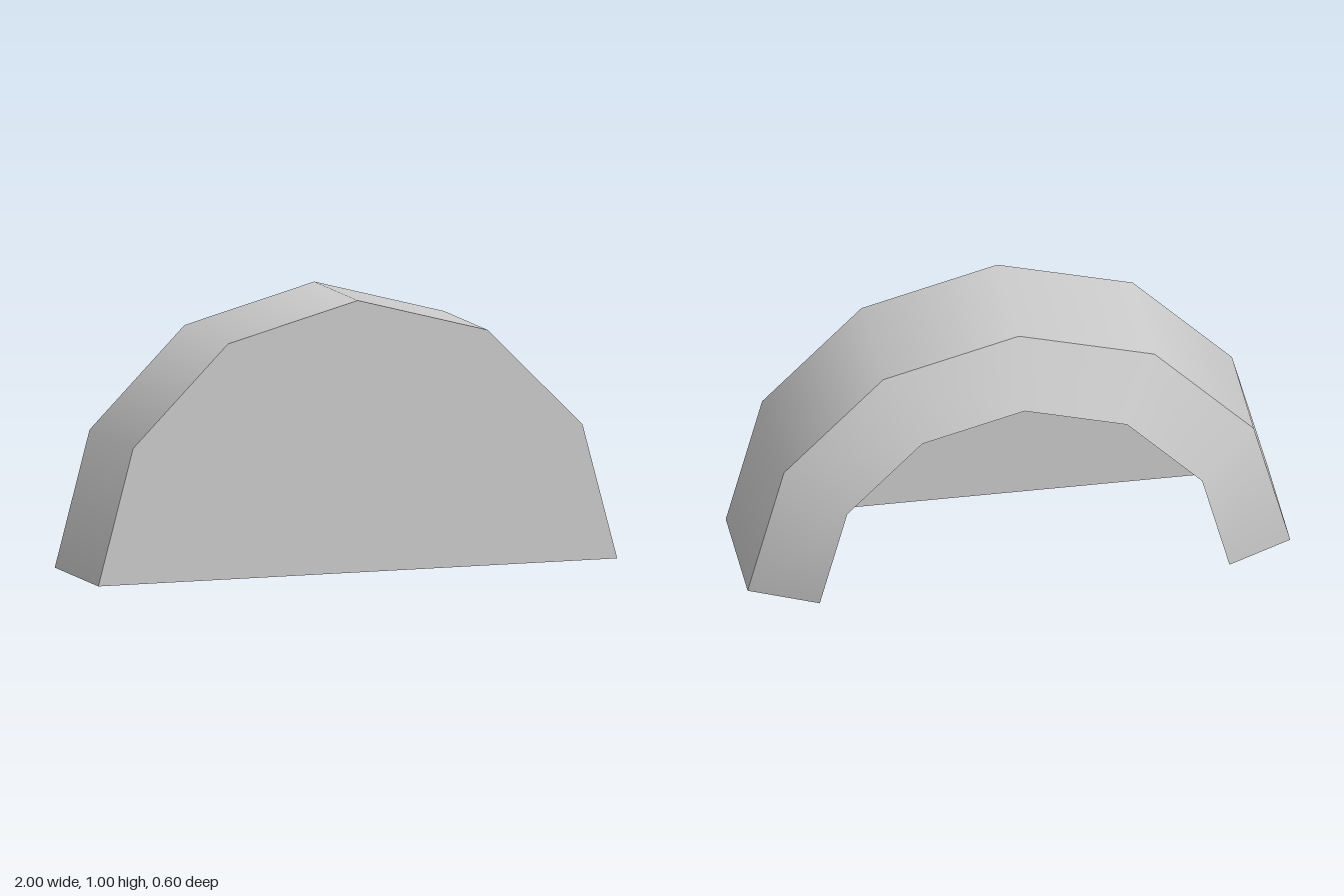
import * as THREE from 'three';

const OUTER = 1, INNER = 0.755;        // radii of the arch
const FRONT = 0.3, SHOULDER = -0.175, BACK = -0.3, RIM_FRONT = -0.05; // depths

export function createModel() {
  const group = new THREE.Group();
  const grey = new THREE.MeshStandardMaterial({ color: 0xcccccc, side: THREE.DoubleSide });
  grey.name = 'light grey';

  const add = (name, geometry) => {
    const mesh = new THREE.Mesh(geometry, grey);
    mesh.name = name;
    group.add(mesh);
    return mesh;
  };

  // Six-sided half ring swept between two (radius, depth) points
  const band = (name, r0, z0, r1, z1) => {
    const profile = [new THREE.Vector2(r0, z0), new THREE.Vector2(r1, z1)];
    add(name, new THREE.LatheGeometry(profile, 6, Math.PI / 2, Math.PI).rotateX(Math.PI / 2));
  };

  // Closed front panel
  add('frontPanel', new THREE.CircleGeometry(OUTER, 6, 0, Math.PI)).position.z = FRONT;

  // Thin outer shell and the solid rim at the back
  band('outerWall', OUTER, SHOULDER, OUTER, FRONT);
  band('backBevel', INNER, BACK, OUTER, SHOULDER);
  band('innerWall', INNER, RIM_FRONT, INNER, BACK);
  band('rimFront', OUTER, RIM_FRONT, INNER, RIM_FRONT);

  // Flat feet closing the rim on both sides
  for (const [name, s] of [['leftFoot', 1], ['rightFoot', -1]]) {
    const foot = new THREE.Shape([
      [OUTER, SHOULDER], [OUTER, RIM_FRONT], [INNER, RIM_FRONT], [INNER, BACK],
    ].map(([x, z]) => new THREE.Vector2(s * x, z)));
    add(name, new THREE.ShapeGeometry(foot).rotateX(Math.PI / 2));
  }

  return group;
}
